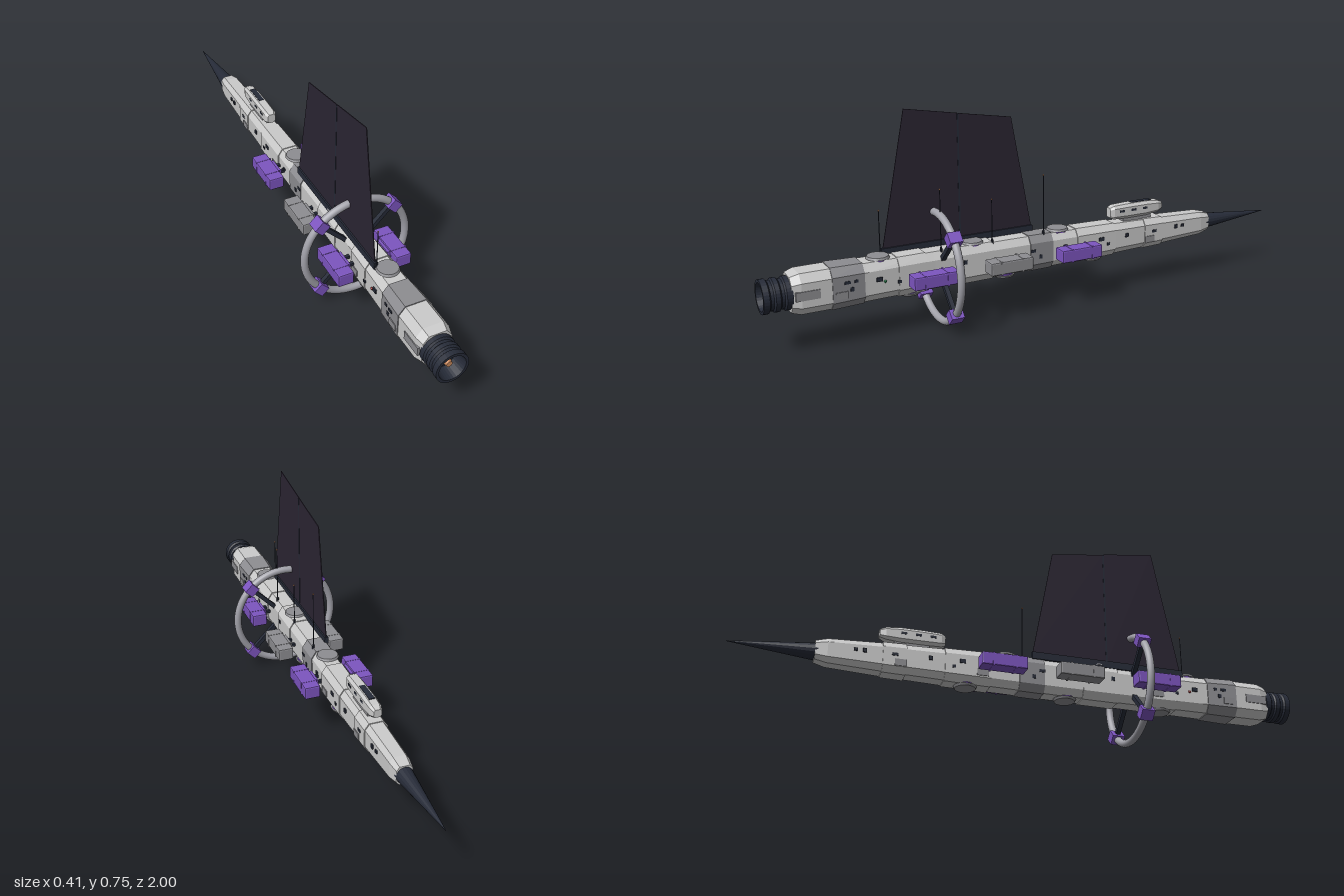
import * as THREE from 'three';
import { RoundedBoxGeometry } from 'three/addons/geometries/RoundedBoxGeometry.js';

const AXIS = 0.203; // height of the ship's long axis
const mat = (color, extra = {}) => new THREE.MeshStandardMaterial({ color, flatShading: true, ...extra });

export function createModel() {
  const ship = new THREE.Group();
  ship.name = 'spaceship';
  const grey = mat(0xcccccc);
  const shade = mat(0x8e8e92);
  const purple = mat(0x7d55c0);
  const dark = mat(0x262b38);
  const finMat = mat(0x2b2533);
  const copper = mat(0xc8875a);
  const steel = new THREE.MeshStandardMaterial({ color: 0xa0a0a8 });

  const add = (name, geo, material, x = 0, y = 0, z = 0, parent = ship) => {
    const m = new THREE.Mesh(geo, material);
    m.name = name;
    m.position.set(x, y, z);
    parent.add(m);
    return m;
  };
  const box = (name, w, h, d, material, x, y, z, parent) =>
    add(name, new THREE.BoxGeometry(w, h, d), material, x, y, z, parent);

  // Chamfered box section, counter-clockwise seen from +z
  const section = ([z, w, h]) => {
    const a = w * 0.62, b = h * 0.6;
    return [[w, -b], [w, b], [a, h], [-a, h], [-w, b], [-w, -b], [-a, -h], [a, -h]]
      .map(([x, y]) => [x, y, z]);
  };
  // Skin over stations [z, half width, half height] running from +z to -z
  const loft = (stations) => {
    const rings = stations.map(section), pos = [];
    const tri = (...pts) => pts.forEach((p) => pos.push(...p));
    for (let k = 0; k < rings.length - 1; k++) {
      for (let i = 0; i < 8; i++) {
        const j = (i + 1) % 8, a = rings[k], b = rings[k + 1];
        tri(a[i], b[i], b[j]);
        tri(a[i], b[j], a[j]);
      }
    }
    const first = rings[0], last = rings[rings.length - 1];
    for (let i = 1; i < 7; i++) {
      tri(first[0], first[i], first[i + 1]);
      tri(last[0], last[i + 1], last[i]);
    }
    const g = new THREE.BufferGeometry();
    g.setAttribute('position', new THREE.Float32BufferAttribute(pos, 3));
    g.computeVertexNormals();
    return g;
  };

  // Hull and raised plating bands
  const hull = [[0.91, 0.05, 0.06], [0.88, 0.058, 0.069], [0.78, 0.058, 0.069], [0.66, 0.052, 0.066],
    [0.42, 0.045, 0.065], [0.1, 0.043, 0.063], [-0.2, 0.042, 0.059], [-0.5, 0.038, 0.051],
    [-0.68, 0.034, 0.043], [-0.72, 0.028, 0.033]];
  add('hull', loft(hull), grey, 0, AXIS, 0);
  const sizeAt = (z) => {
    let k = 0;
    while (k < hull.length - 2 && z < hull[k + 1][0]) k++;
    const t = (hull[k][0] - z) / (hull[k][0] - hull[k + 1][0]);
    return [1, 2].map((c) => THREE.MathUtils.lerp(hull[k][c], hull[k + 1][c], t));
  };
  [[0.78, 0.67], [0.55, 0.45], [0.33, 0.2], [0.06, -0.03], [-0.13, -0.29], [-0.42, -0.5]].forEach(([z0, z1], i) => {
    const stations = [z0, z1].map((z) => [z, ...sizeAt(z).map((s) => s + 0.003)]);
    add('hullBand', loft(stations), i % 3 ? grey : shade, 0, AXIS, 0);
  });

  // Nose spike
  add('noseCone', new THREE.CylinderGeometry(0.001, 0.03, 0.29, 16).rotateX(-Math.PI / 2), dark, 0, AXIS, -0.855);

  // Engine bell with ribs, open to +z
  const bell = [[0, 0.89], [0.047, 0.89], [0.047, 0.905], [0.056, 0.905], [0.056, 0.925], [0.05, 0.93],
    [0.05, 0.94], [0.056, 0.945], [0.056, 0.96], [0.05, 0.965], [0.05, 0.975], [0.057, 0.98],
    [0.057, 1], [0.047, 1], [0.04, 0.95], [0, 0.95]].map((p) => new THREE.Vector2(...p));
  add('engineBell', new THREE.LatheGeometry(bell, 32).rotateX(Math.PI / 2), dark, 0, AXIS, 0);
  add('engineCore', new THREE.CylinderGeometry(0.01, 0.017, 0.035, 20).rotateX(Math.PI / 2), copper, 0, AXIS, 0.965);

  // Ring with spokes and clamps
  const ring = new THREE.Group();
  ring.name = 'ringAssembly';
  ring.position.set(0, AXIS, 0.39);
  ship.add(ring);
  add('ring', new THREE.TorusGeometry(0.189, 0.0135, 16, 72), steel, 0, 0, 0, ring);
  for (let i = 0; i < 4; i++) {
    const arm = new THREE.Group();
    arm.name = 'spokeArm';
    arm.rotation.z = Math.PI / 4 + i * Math.PI / 2;
    ring.add(arm);
    box('spoke', 0.14, 0.015, 0.016, dark, 0.11, 0, 0, arm);
    box('clamp', 0.037, 0.04, 0.046, purple, 0.189, 0, 0, arm);
  }

  // Side pods on struts
  [[-0.105, purple], [0.17, grey === 0 ? grey : shade], [0.45, purple]].forEach(([z, material]) => {
    for (const s of [1, -1]) {
      const pod = new THREE.Group();
      pod.name = 'sidePod';
      const out = z > 0.4 ? 0.008 : 0;
      pod.position.set(s * (0.098 + out), AXIS, z);
      ship.add(pod);
      add('podBody', new RoundedBoxGeometry(0.056, 0.046, 0.16, 1, 0.005), material, 0, 0, 0, pod);
      for (const dz of [-0.04, 0.04]) box('podBand', 0.058, 0.048, 0.006, material, 0, 0, dz, pod);
      box('podCradle', 0.012, 0.032, 0.07, material, -s * 0.032, 0, 0, pod);
      for (const dz of [-0.018, 0.018]) box('podStrut', 0.04, 0.01, 0.012, dark, -s * (0.045 + out / 2), 0, dz, pod);
    }
  });

  // Hatch discs above and below the hull
  const disc = (z, side) => {
    const y = AXIS + side * (sizeAt(z)[1] + 0.002);
    add('hatchCollar', new THREE.CylinderGeometry(0.034, 0.034, 0.01, 28), purple, 0, y, z);
    add('hatchDisc', new THREE.CylinderGeometry(side > 0 ? 0.036 : 0.04, side > 0 ? 0.04 : 0.036, 0.008, 28),
      shade, 0, y + side * 0.004, z);
  };
  [-0.07, 0.265, 0.605].forEach((z) => disc(z, 1));
  [-0.21, 0.145, 0.5].forEach((z) => disc(z, -1));

  // Command module on the forward back
  const cabin = loft([[-0.285, 0.015, 0.018], [-0.3, 0.022, 0.025], [-0.36, 0.023, 0.027],
    [-0.44, 0.023, 0.027], [-0.49, 0.021, 0.022], [-0.51, 0.014, 0.014]]);
  add('commandModule', cabin, grey, 0, 0.296, 0);
  box('commandModuleMount', 0.028, 0.05, 0.12, shade, 0, 0.262, -0.4);
  box('commandModuleSkylight', 0.02, 0.003, 0.085, dark, 0, 0.323, -0.42);
  for (const s of [1, -1]) {
    for (const z of [-0.33, -0.38, -0.43]) box('commandModuleWindow', 0.002, 0.008, 0.02, dark, s * 0.023, 0.3, z);
  }

  // Radiator fin: two thin panels on a dark rail
  const finPanel = (pts) => {
    const g = new THREE.ExtrudeGeometry(new THREE.Shape(pts.map((p) => new THREE.Vector2(...p))),
      { depth: 0.003, bevelEnabled: false });
    add('radiatorPanel', g.rotateY(-Math.PI / 2), finMat, -0.0285, 0, 0);
  };
  finPanel([[0.02, 0.285], [0.293, 0.285], [0.293, 0.717], [0.096, 0.685]]);
  finPanel([[0.296, 0.285], [0.576, 0.285], [0.487, 0.75], [0.296, 0.718]]);
  box('radiatorSpine', 0.005, 0.43, 0.006, dark, -0.03, 0.5, 0.295);
  box('radiatorRail', 0.014, 0.026, 0.565, dark, -0.03, 0.275, 0.3);

  // Whip antennas
  [[0.027, 0, 0.48], [0.027, 0.39, 0.48], [0.027, 0.2, 0.42], [-0.03, 0.585, 0.42]].forEach(([x, z, top]) => {
    add('antenna', new THREE.CylinderGeometry(0.0015, 0.002, top - 0.25, 6), dark, x, (top + 0.25) / 2, z);
    add('antennaBase', new THREE.CylinderGeometry(0.004, 0.005, 0.03, 8), dark, x, 0.265, z);
    add('antennaTip', new THREE.SphereGeometry(0.003, 8, 6), copper, x, top, z);
  });

  // Windows, vents and running lights on the flanks
  const spots = [[0.73, 0.02], [0.715, -0.005], [0.7, 0.02], [0.62, 0.01], [0.55, -0.01], [0.31, 0.015], [0.05, 0.012],
    [0.02, -0.012], [-0.08, 0.01], [-0.23, 0.012], [-0.26, -0.01], [-0.34, 0.01], [-0.46, 0.008], [-0.56, 0.01], [-0.59, 0.01]];
  for (const s of [1, -1]) {
    spots.forEach(([z, dy], i) =>
      box('flankWindow', 0.006, i % 2 ? 0.014 : 0.01, i % 3 ? 0.012 : 0.02, dark, s * (sizeAt(z)[0] + 0.002), AXIS + dy, z));
    for (const z of [0.75, 0.48, -0.16, -0.44]) {
      box('flankPanel', 0.006, 0.024, 0.04, shade, s * (sizeAt(z)[0] + 0.003), AXIS - 0.02, z);
    }
    add('runningLight', new THREE.SphereGeometry(0.005, 8, 6), mat(s > 0 ? 0x2f8f5a : 0xb03a3a), s * 0.052, AXIS, 0.6);
    box('engineFairing', 0.01, 0.03, 0.08, shade, s * 0.056, AXIS, 0.86);
  }
  return ship;
}
